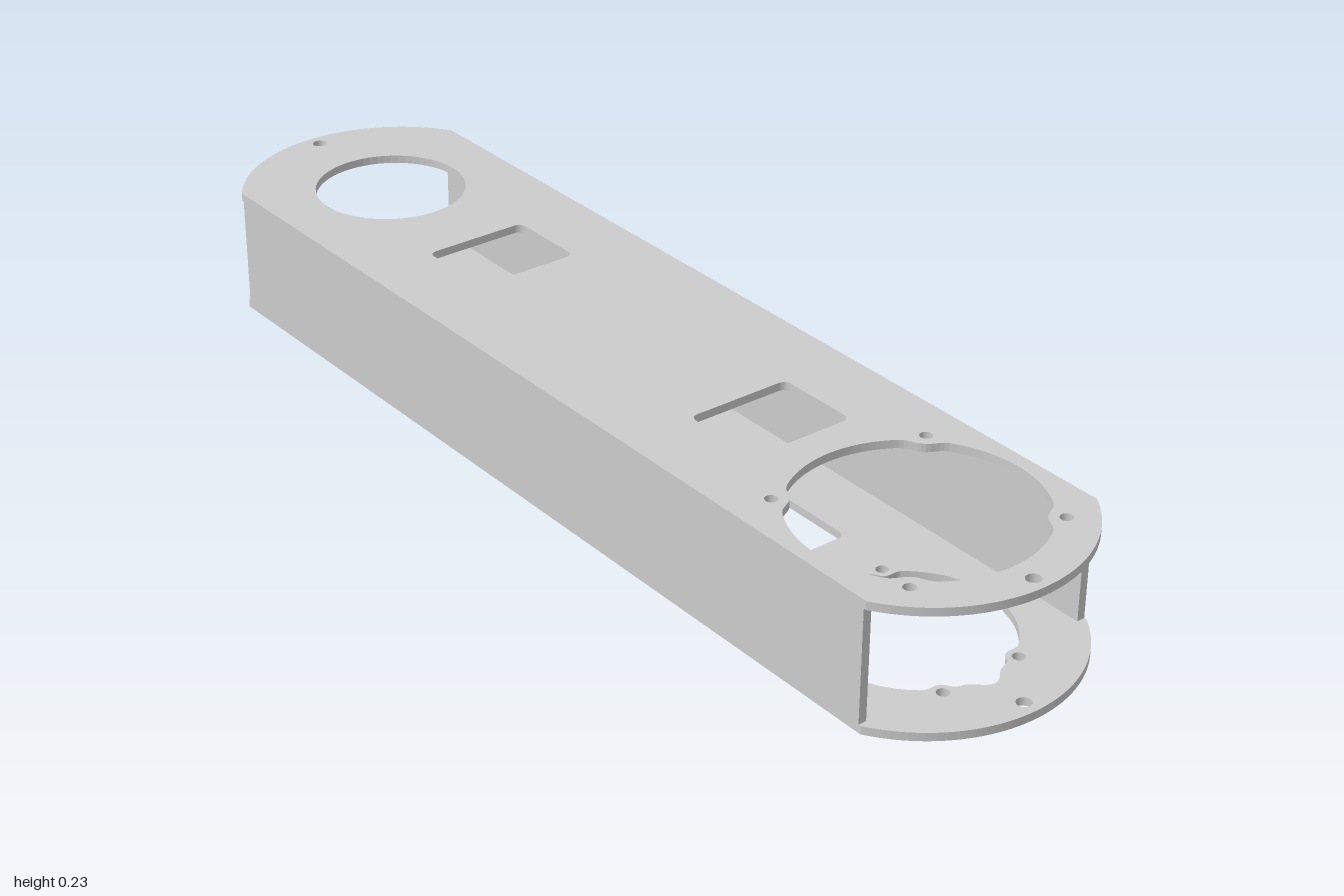
import * as THREE from 'three';

const END = 0.723;      // centre of each rounded end
const HALF = 0.235;     // half width, also the total height
const THICK = 0.015;    // sheet thickness
const RADIUS = 0.277;   // end arc radius

function circle(x, y, r) {
  return new THREE.Path().absarc(x, y, r, 0, Math.PI * 2, true);
}

// four small holes placed symmetrically about a centre
function fourHoles(x, dx, dy, r) {
  return [[1, 1], [1, -1], [-1, 1], [-1, -1]].map(([a, b]) => circle(x + a * dx, b * dy, r));
}

// closed opening whose radius follows a rule of the angle
function radialHole(x, radiusAt) {
  const points = [];
  for (let i = 0; i < 180; i++) {
    const a = -i / 180 * Math.PI * 2;
    const r = radiusAt(a);
    points.push(new THREE.Vector2(x + r * Math.cos(a), r * Math.sin(a)));
  }
  return new THREE.Path(points);
}

function roundedWindow(x, w, h, r) {
  const p = new THREE.Path();
  const a = w / 2 - r, b = h / 2 - r, q = Math.PI / 2;
  p.absarc(x + a, b, r, 0, q);
  p.absarc(x - a, b, r, q, 2 * q);
  p.absarc(x - a, -b, r, 2 * q, 3 * q);
  p.absarc(x + a, -b, r, 3 * q, 4 * q);
  p.closePath();
  return p;
}

// smooth bump of the given half width around an angle, mirrored into all quadrants
function bump(angle, centre, width) {
  const folded = Math.atan2(Math.abs(Math.sin(angle)), Math.abs(Math.cos(angle)));
  const t = Math.min(1, Math.abs(folded - centre) / width);
  return 0.5 + 0.5 * Math.cos(Math.PI * t);
}

// flat plate with arc ends, two windows, end holes and its own openings
function plate(name, y, openings, material) {
  const s = new THREE.Shape();
  const a = Math.asin(HALF / RADIUS);
  s.absarc(END, 0, RADIUS, -a, a);
  s.absarc(-END, 0, RADIUS, Math.PI - a, Math.PI + a);
  s.closePath();
  for (const side of [-1, 1]) {
    s.holes.push(roundedWindow(side * 0.372, 0.16, 0.2, 0.015));
    s.holes.push(circle(side * 0.973, 0, 0.013));
  }
  s.holes.push(...openings);
  const g = new THREE.ExtrudeGeometry(s, { depth: THICK, bevelEnabled: false, curveSegments: 32 });
  g.rotateX(-Math.PI / 2);
  const mesh = new THREE.Mesh(g, material);
  mesh.name = name;
  mesh.position.y = y;
  return mesh;
}

export function createModel() {
  const model = new THREE.Group();
  model.name = 'boxLink';
  const material = new THREE.MeshStandardMaterial({ color: 0xcccccc });

  // top: plain round opening on one end, large notched opening on the other
  model.add(plate('topPlate', HALF - THICK, [
    circle(-END - 0.004, 0, 0.139),
    radialHole(END, (a) => 0.208 - 0.012 * bump(a, Math.PI / 4, 0.2)),
    ...fourHoles(END, 0.157, 0.16, 0.011),
  ], material));

  // bottom: bolt pattern on one end, lobed opening on the other
  model.add(plate('bottomPlate', 0, [
    ...fourHoles(-END - 0.004, 0.079, 0.079, 0.011),
    radialHole(END, (a) => 0.167 + 0.02 * (bump(a, 0, 0.24) + bump(a, Math.PI / 2, 0.24))
      - 0.012 * bump(a, 0.47, 0.17)),
    ...fourHoles(END, 0.157, 0.079, 0.011),
  ], material));

  // side walls between the plates
  for (const side of [1, -1]) {
    const wall = new THREE.Mesh(new THREE.BoxGeometry(1.73, HALF - 2 * THICK, THICK), material);
    wall.name = side > 0 ? 'frontWall' : 'backWall';
    wall.position.set(0, HALF / 2, side * (HALF - THICK / 2));
    model.add(wall);
  }
  return model;
}
